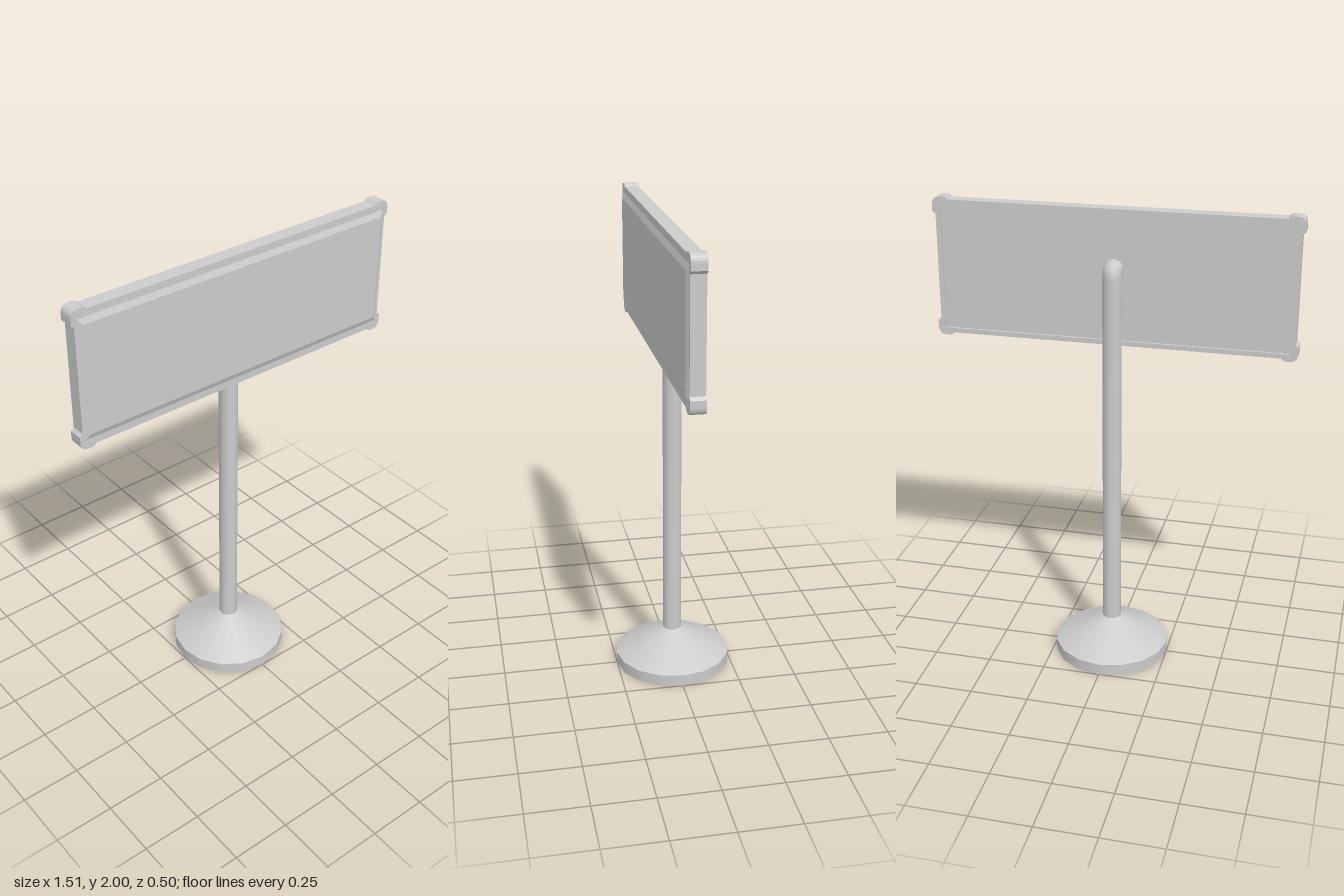
import * as THREE from 'three';

const flat = new THREE.MeshStandardMaterial({ color: 0xcccccc, flatShading: true, side: THREE.DoubleSide });
const smooth = new THREE.MeshStandardMaterial({ color: 0xcccccc, side: THREE.DoubleSide });

const BACK = 0.02, FRONT = 0.08, MID_Y = 1.71;

function add(parent, name, geometry, material) {
  const mesh = new THREE.Mesh(geometry, material);
  mesh.name = name;
  parent.add(mesh);
  return mesh;
}

// Closed rectangle outline centred on the sign
function rectangle(Target, halfW, halfH) {
  return new Target([[-1, -1], [1, -1], [1, 1], [-1, 1]].map(
    ([x, y]) => new THREE.Vector2(x * halfW, MID_Y + y * halfH)));
}

// Post whose top rings tip over into a short elbow reaching the sign
function postGeometry() {
  const r = 0.04;
  const rings = [ // y, z, tilt
    [1.75, 0.04, Math.PI / 2],
    [1.745, 0.012, Math.PI / 3],
    [1.737, 0, Math.PI / 4],
    [1.715, 0, 0],
    [0.155, 0, 0],
  ];
  const geo = new THREE.CylinderGeometry(r, r, 1, 16, rings.length - 1, true);
  const pos = geo.attributes.position;
  for (let i = 0; i < pos.count; i++) {
    const [y, z, tilt] = rings[Math.floor(i / 17)];
    const d = pos.getZ(i);
    pos.setY(i, y - d * Math.sin(tilt));
    pos.setZ(i, z + d * Math.cos(tilt));
  }
  geo.computeVertexNormals();
  return geo;
}

// Board with a bevelled front face
function boardGeometry() {
  const geo = new THREE.BoxGeometry(2, 2, 1);
  const pos = geo.attributes.position;
  for (let i = 0; i < pos.count; i++) {
    const x = Math.sign(pos.getX(i)), y = Math.sign(pos.getY(i));
    if (pos.getZ(i) > 0) pos.setXYZ(i, x * 0.713, MID_Y + y * 0.228, 0.09);
    else pos.setXYZ(i, x * 0.737, MID_Y + y * 0.262, 0.076);
  }
  geo.computeVertexNormals();
  return geo;
}

// Rounded L-shaped corner guard for the corner at (sx, sy)
function cornerGeometry(sx, sy) {
  const X = (a) => sx * (0.755 - a), Y = (b) => MID_Y + sy * (0.293 - b);
  const s = new THREE.Shape();
  s.moveTo(X(0.07), Y(0.012));
  s.lineTo(X(0.055), Y(0));
  s.lineTo(X(0.035), Y(0));
  s.quadraticCurveTo(X(0), Y(0), X(0), Y(0.035));
  s.lineTo(X(0), Y(0.06));
  s.lineTo(X(0.016), Y(0.075));
  s.lineTo(X(0.025), Y(0.075));
  s.lineTo(X(0.025), Y(0.028));
  s.lineTo(X(0.07), Y(0.028));
  s.closePath();
  const geo = new THREE.ExtrudeGeometry(s, { depth: FRONT + 0.002 - BACK, bevelEnabled: false, curveSegments: 6 });
  return geo.translate(0, 0, BACK - 0.001);
}

export function createModel() {
  const model = new THREE.Group();
  model.name = 'signStand';

  // Base: short drum, cone and underside
  const base = new THREE.Group();
  base.name = 'base';
  model.add(base);
  add(base, 'baseDrum', new THREE.CylinderGeometry(0.25, 0.25, 0.05, 16), smooth).position.y = 0.025;
  add(base, 'baseCone', new THREE.CylinderGeometry(0.04, 0.25, 0.11, 16, 1, true), smooth).position.y = 0.105;

  add(model, 'post', postGeometry(), smooth);

  // Sign: rim, bevelled front, recessed back and corner guards
  const sign = new THREE.Group();
  sign.name = 'sign';
  model.add(sign);

  const rim = rectangle(THREE.Shape, 0.742, 0.282);
  rim.holes.push(rectangle(THREE.Path, 0.722, 0.262));
  const rimGeo = new THREE.ExtrudeGeometry(rim, { depth: FRONT - BACK, bevelEnabled: false });
  add(sign, 'rim', rimGeo.translate(0, 0, BACK), flat);

  add(sign, 'frontBoard', boardGeometry(), flat);

  const back = new THREE.BoxGeometry(1.45, 0.53, 0.05);
  add(sign, 'backPanel', back.translate(0, MID_Y, 0.055), flat);

  for (const sx of [-1, 1]) {
    for (const sy of [-1, 1]) {
      add(sign, (sy > 0 ? 'upper' : 'lower') + (sx > 0 ? 'Left' : 'Right') + 'Corner', cornerGeometry(sx, sy), flat);
    }
  }
  return model;
}
